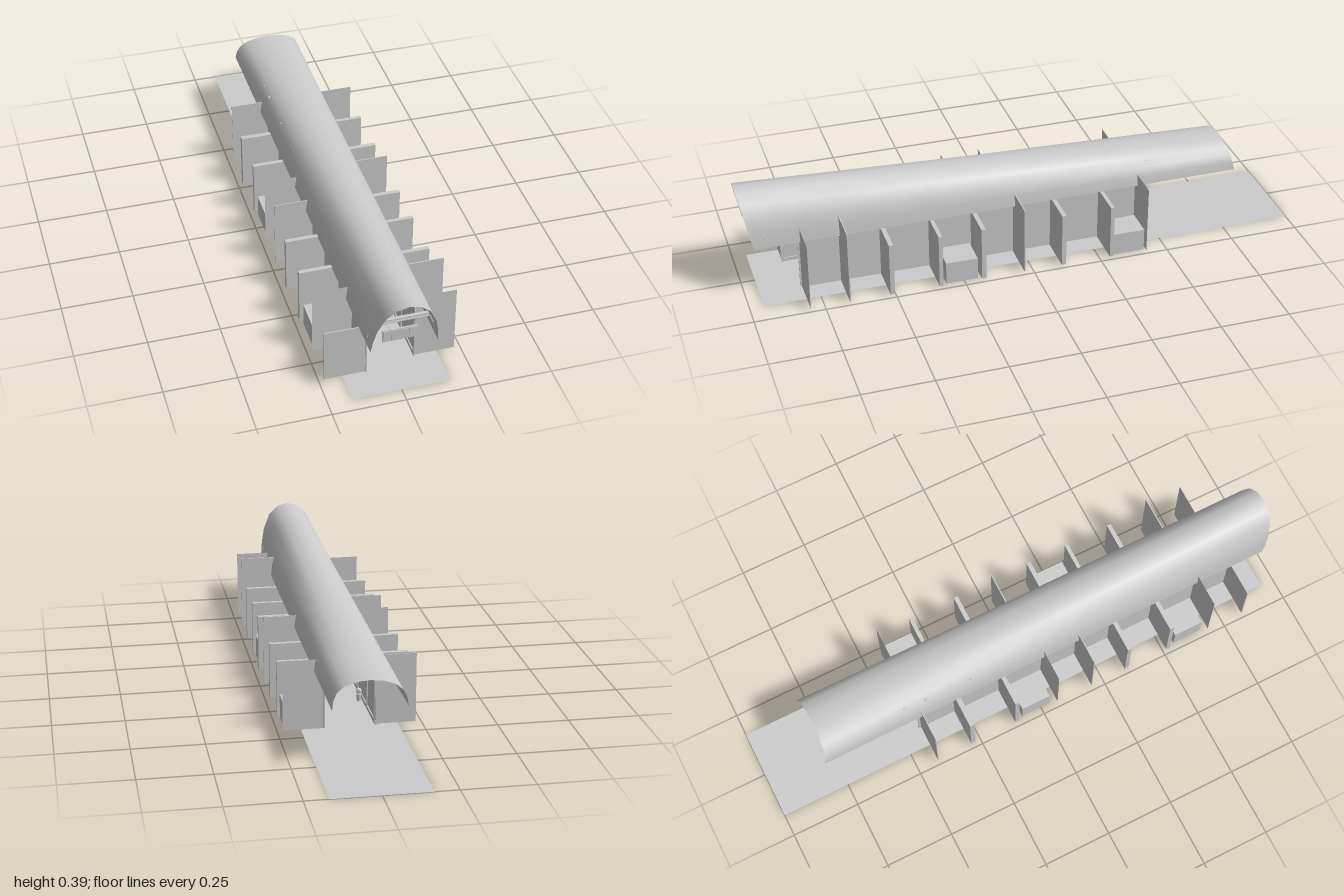
import * as THREE from 'three';

const mat = new THREE.MeshStandardMaterial({ color: 0xcccccc, side: THREE.DoubleSide });

function add(parent, name, geo, x = 0, y = 0, z = 0) {
  const m = new THREE.Mesh(geo, mat);
  m.name = name;
  m.position.set(x, y, z);
  parent.add(m);
  return m;
}

// box given by its limits on each axis
function block(parent, name, x0, x1, y0, y1, z0, z1) {
  return add(parent, name, new THREE.BoxGeometry(Math.abs(x1 - x0), y1 - y0, Math.abs(z1 - z0)),
    (x0 + x1) / 2, (y0 + y1) / 2, (z0 + z1) / 2);
}

// thin rod between two points
function rod(parent, name, a, b, r) {
  const curve = new THREE.LineCurve3(new THREE.Vector3(...a), new THREE.Vector3(...b));
  return add(parent, name, new THREE.TubeGeometry(curve, 1, r, 6));
}

// arched profile: half of it is listed from crown to springing, then mirrored
function arch(half) {
  const pts = half.map(([x, y]) => new THREE.Vector3(x, y, 0));
  const left = pts.slice(1).reverse().map(p => new THREE.Vector3(-p.x, p.y, 0));
  return [...left, ...pts];
}

// roof vault lofted from a tall front arch to a low back arch
function vaultGeometry() {
  const front = arch([[0, 0.397], [0.04, 0.386], [0.074, 0.355], [0.098, 0.3], [0.108, 0.25], [0.113, 0.2]]);
  const back = arch([[0, 0.305], [0.045, 0.301], [0.083, 0.289], [0.108, 0.27], [0.12, 0.245], [0.125, 0.215]]);
  const n = front.length - 1, rows = 8;
  const geo = new THREE.PlaneGeometry(1, 1, n, rows);
  const pos = geo.attributes.position;
  for (let j = 0; j <= rows; j++) {
    for (let i = 0; i <= n; i++) {
      const f = front[i], b = back[i], t = j / rows;
      const zf = 0.96 + 0.04 * (f.y - 0.2) / 0.197;
      const zb = -0.8 + 0.02 * (b.y - 0.215) / 0.09;
      pos.setXYZ(j * (n + 1) + i, f.x + (b.x - f.x) * t, f.y + (b.y - f.y) * t, zb * t + zf * (1 - t));
    }
  }
  // rows run front to back, so reverse the winding to face outward
  const idx = geo.index.array;
  for (let k = 0; k < idx.length; k += 3) [idx[k + 1], idx[k + 2]] = [idx[k + 2], idx[k + 1]];
  geo.computeVertexNormals();
  const nrm = geo.attributes.normal;
  const mid = Math.floor(n / 2);
  if (nrm.getY(mid) < 0) {
    for (let k = 0; k < idx.length; k += 3) [idx[k + 1], idx[k + 2]] = [idx[k + 2], idx[k + 1]];
    geo.computeVertexNormals();
  }
  return geo;
}

// one row of stalls: side +1 is left, -1 is right
function stallRow(side, partitions, blocks, zFront) {
  const g = new THREE.Group();
  g.name = side > 0 ? 'leftStalls' : 'rightStalls';
  const wall = side * 0.09;

  block(g, 'shopFront', wall, wall + side * 0.004, 0.005, 0.205, zFront, -0.43);
  block(g, 'shopCornice', wall - side * 0.003, wall + side * 0.008, 0.198, 0.208, zFront, -0.43);
  block(g, 'shopPlinth', wall - side * 0.004, wall, 0.004, 0.018, zFront, -0.43);

  for (const [z, top, thick] of partitions) {
    if (thick > 0) {
      block(g, 'partition', side * 0.088, side * 0.231, 0.004, top, z - thick / 2, z + thick / 2);
    } else {
      add(g, 'partitionSheet', new THREE.PlaneGeometry(0.14, top - 0.003), side * 0.16, (top + 0.003) / 2, z);
    }
    block(g, 'pilaster', wall - side * 0.004, wall, 0.005, 0.2, z - 0.006, z + 0.006);
  }
  for (const [z0, z1] of blocks) {
    block(g, 'backRoomBlock', side * 0.118, side * 0.222, 0.003, 0.086, z0, z1);
  }
  return g;
}

// street lamp with flared base, arm and hanging round sign or lantern
function lampPost(x, z, side, round) {
  const g = new THREE.Group();
  g.name = 'lampPost';
  const profile = [[0.011, 0], [0.009, 0.006], [0.005, 0.035], [0.003, 0.045], [0.0014, 0.05], [0.0014, 0.165]];
  add(g, 'post', new THREE.LatheGeometry(profile.map(p => new THREE.Vector2(...p)), 8), 0, 0.003, 0);
  const reach = -side * 0.036;
  rod(g, 'arm', [0, 0.157, 0], [reach, 0.157, 0], 0.0014);
  const scroll = add(g, 'scroll', new THREE.TorusGeometry(0.004, 0.0009, 5, 10), reach * 0.4, 0.162, 0);
  scroll.scale.x = 1.6;
  if (round) {
    add(g, 'roundSign', new THREE.CylinderGeometry(0.0115, 0.0115, 0.003, 20), reach * 0.8, 0.154, 0)
      .rotation.x = Math.PI / 2;
  } else {
    add(g, 'lantern', new THREE.CylinderGeometry(0.007, 0.004, 0.01, 8), reach * 0.7, 0.149, 0);
  }
  g.position.set(x, 0, z);
  return g;
}

export function createModel() {
  const model = new THREE.Group();
  model.name = 'coveredArcade';

  // floor
  add(model, 'floor', new THREE.PlaneGeometry(0.336, 1.95), 0, 0.003, -0.025).rotation.x = -Math.PI / 2;

  // roof and its small vents
  add(model, 'vaultRoof', vaultGeometry());
  for (const z of [-0.39, -0.215, -0.04]) {
    add(model, 'roofVent', new THREE.SphereGeometry(0.006, 8, 6), -0.095, 0.288, z);
  }

  // stalls: partition = [z, top, thickness]
  model.add(stallRow(1, [
    [0.8, 0.253, 0], [0.66, 0.277, 0.004], [0.51, 0.205, 0.016], [0.335, 0.205, 0.014], [0.18, 0.205, 0.016],
    [0.03, 0.253, 0.004], [-0.115, 0.205, 0.016], [-0.295, 0.205, 0.014], [-0.428, 0.253, 0],
  ], [[0.2, 0.315], [-0.42, -0.305]], 0.8));
  model.add(stallRow(-1, [
    [0.833, 0.2, 0.004], [0.69, 0.253, 0], [0.522, 0.209, 0.016], [0.35, 0.209, 0.016], [0.205, 0.253, 0.003],
    [0.065, 0.253, 0], [-0.1, 0.209, 0.016], [-0.278, 0.209, 0.018], [-0.42, 0.253, 0.003],
  ], [[0.55, 0.66], [-0.075, 0.035]], 0.835));

  // cross beams under the roof
  for (const z of [0.92, -0.47]) {
    block(model, 'crossBeam', -0.095, 0.091, 0.277, 0.281, z - 0.006, z + 0.006);
    block(model, 'crossBeam', -0.095, 0.091, 0.287, 0.291, z - 0.006, z + 0.006);
    block(model, 'beamWeb', -0.095, 0.091, 0.281, 0.287, z - 0.002, z + 0.002);
    for (const s of [-1, 1]) rod(model, 'beamBrace', [s * 0.093, 0.28, z], [s * 0.112, 0.235, z], 0.003);
  }

  // hanging board with four panels
  const board = new THREE.Group();
  board.name = 'hangingBoard';
  block(board, 'boardBack', -0.062, 0.056, 0.199, 0.245, -0.003, 0.003);
  for (let i = 0; i < 4; i++) {
    const x = -0.06 + i * 0.029;
    block(board, 'boardPanel', x, x + 0.027, 0.202, 0.242, 0.003, 0.005);
  }
  for (const s of [-1, 1]) rod(board, 'boardCable', [s * 0.056, 0.278, 0], [s * 0.035, 0.245, 0], 0.001);
  board.position.z = 0.92;
  model.add(board);

  // street furniture and projecting signs
  model.add(lampPost(-0.063, 0.68, -1, false), lampPost(0.068, 0.6, 1, true));
  block(model, 'projectingSign', -0.088, -0.06, 0.092, 0.127, 0.595, 0.6);
  block(model, 'projectingSign', 0.068, 0.088, 0.11, 0.155, 0.4, 0.405);
  block(model, 'projectingSign', 0.06, 0.088, 0.155, 0.202, -0.2, -0.195);
  block(model, 'streetBoard', 0.043, 0.07, 0.018, 0.055, 0.3, 0.306);
  block(model, 'streetBoardFoot', 0.033, 0.07, 0.003, 0.008, 0.29, 0.316);
  for (const z of [0.75, 0.25, -0.2]) {
    add(model, 'planter', new THREE.CylinderGeometry(0.009, 0.007, 0.025, 8), -0.074, 0.016, z);
    add(model, 'planterShrub', new THREE.IcosahedronGeometry(0.012, 0), -0.074, 0.04, z);
  }
  return model;
}
